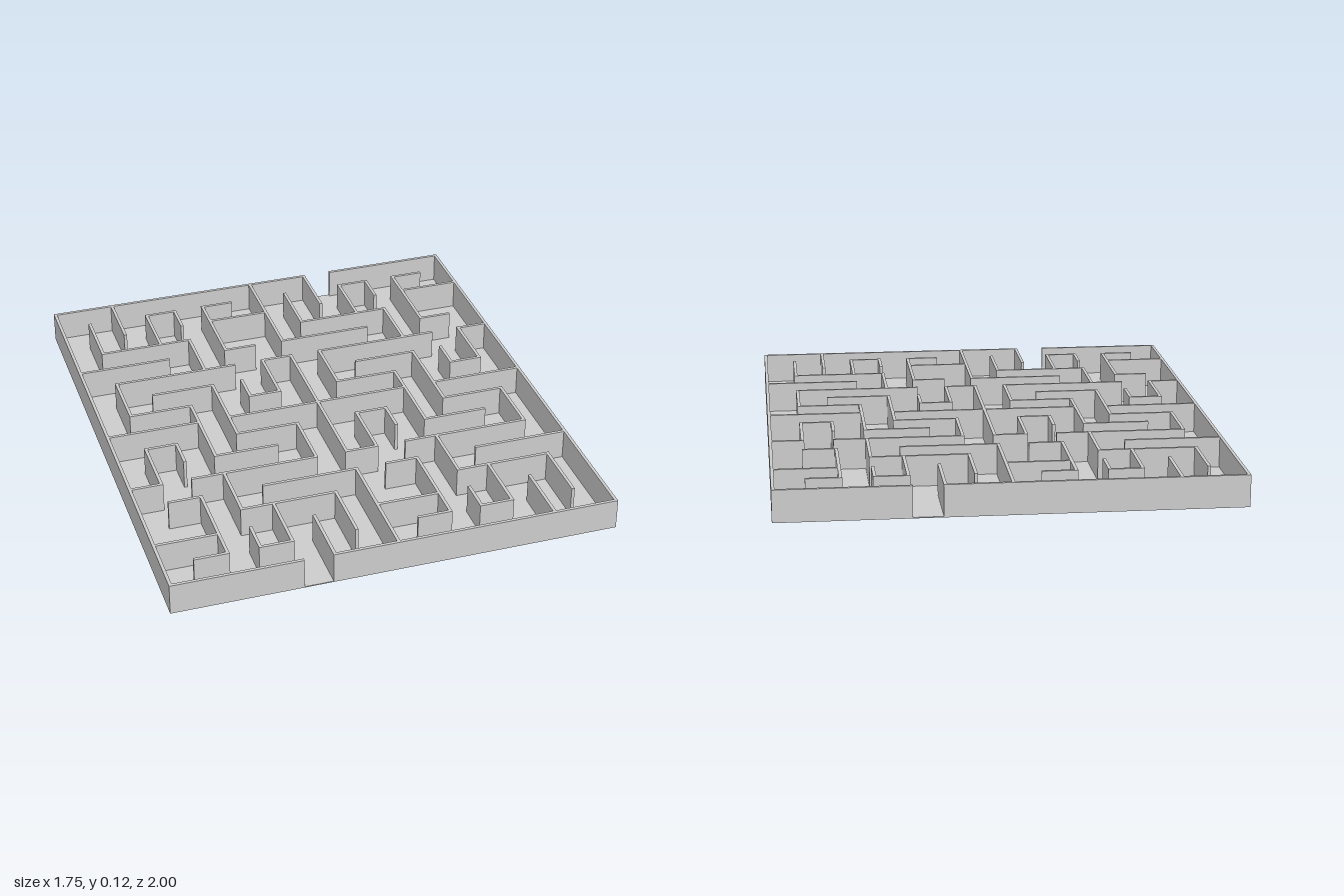
import * as THREE from 'three';

const CELL = 2 / 16.1;      // grid pitch
const THICK = CELL * 0.1;   // wall thickness
const HEIGHT = CELL;        // total height
const FLOOR = 0.004;        // floor thickness
const COLS = 14, ROWS = 16, TILE = 7;

// Wall runs in grid units [i0, j0, i1, j1]: upper half of a 7-column tile
const RUNS = [
  // far band
  [2, 0, 2, 2], [1, 1, 1, 3], [1, 3, 4, 3],
  [3, 1, 3, 3], [3, 1, 4, 1], [4, 1, 4, 2], [4, 3, 4, 5],
  [0, 4, 3, 4],
  [5, 1, 5, 4], [5, 1, 6, 1], [5, 2, 7, 2], [5, 4, 6, 4],
  // middle band
  [1, 5, 5, 5], [1, 5, 1, 7], [1, 7, 3, 7], [3, 7, 3, 10], [3, 10, 5, 10],
  [5, 6, 5, 7], [5, 7, 6, 7], [6, 5, 6, 7], [6, 5, 7, 5],
  [0, 8, 3, 8],
];

// Centre line between the two tiles
const SPINE = [[7, 0, 7, 4], [7, 5, 7, 11], [7, 12, 7, 16]];

// Outer walls, with an entrance in front and an exit at the back
const BORDER = [
  [0, 0, 0, 16], [14, 0, 14, 16],
  [0, 0, 9, 0], [10, 0, 14, 0],
  [0, 16, 4, 16], [5, 16, 14, 16],
];

export function createModel() {
  const model = new THREE.Group();
  model.name = 'maze';
  const material = new THREE.MeshStandardMaterial({ color: 0xcccccc, flatShading: true });

  function addBox(parent, name, w, h, d, x, y, z) {
    const mesh = new THREE.Mesh(new THREE.BoxGeometry(w, h, d), material);
    mesh.name = name;
    mesh.position.set(x, y, z);
    parent.add(mesh);
  }

  function addWall(parent, name, [i0, j0, i1, j1]) {
    const base = FLOOR / 2; // sunk into the floor
    addBox(parent, name,
      (i1 - i0) * CELL + THICK, HEIGHT - base, (j1 - j0) * CELL + THICK,
      ((i0 + i1) / 2 - COLS / 2) * CELL, (HEIGHT + base) / 2, ((j0 + j1) / 2 - ROWS / 2) * CELL);
  }

  // Floor slab
  addBox(model, 'floor', COLS * CELL + THICK, FLOOR, ROWS * CELL + THICK, 0, FLOOR / 2, 0);

  // Outer walls
  const outer = new THREE.Group();
  outer.name = 'outerWalls';
  BORDER.forEach((run) => addWall(outer, 'outerWall', run));
  model.add(outer);

  // Inner walls: each run, its half-turn copy, repeated in both tiles
  const inner = new THREE.Group();
  inner.name = 'innerWalls';
  SPINE.forEach((run) => addWall(inner, 'centreWall', run));
  for (const shift of [0, TILE]) {
    for (const [i0, j0, i1, j1] of RUNS) {
      addWall(inner, 'innerWall', [i0 + shift, j0, i1 + shift, j1]);
      addWall(inner, 'innerWall',
        [TILE - i1 + shift, ROWS - j1, TILE - i0 + shift, ROWS - j0]);
    }
  }
  model.add(inner);

  return model;
}
